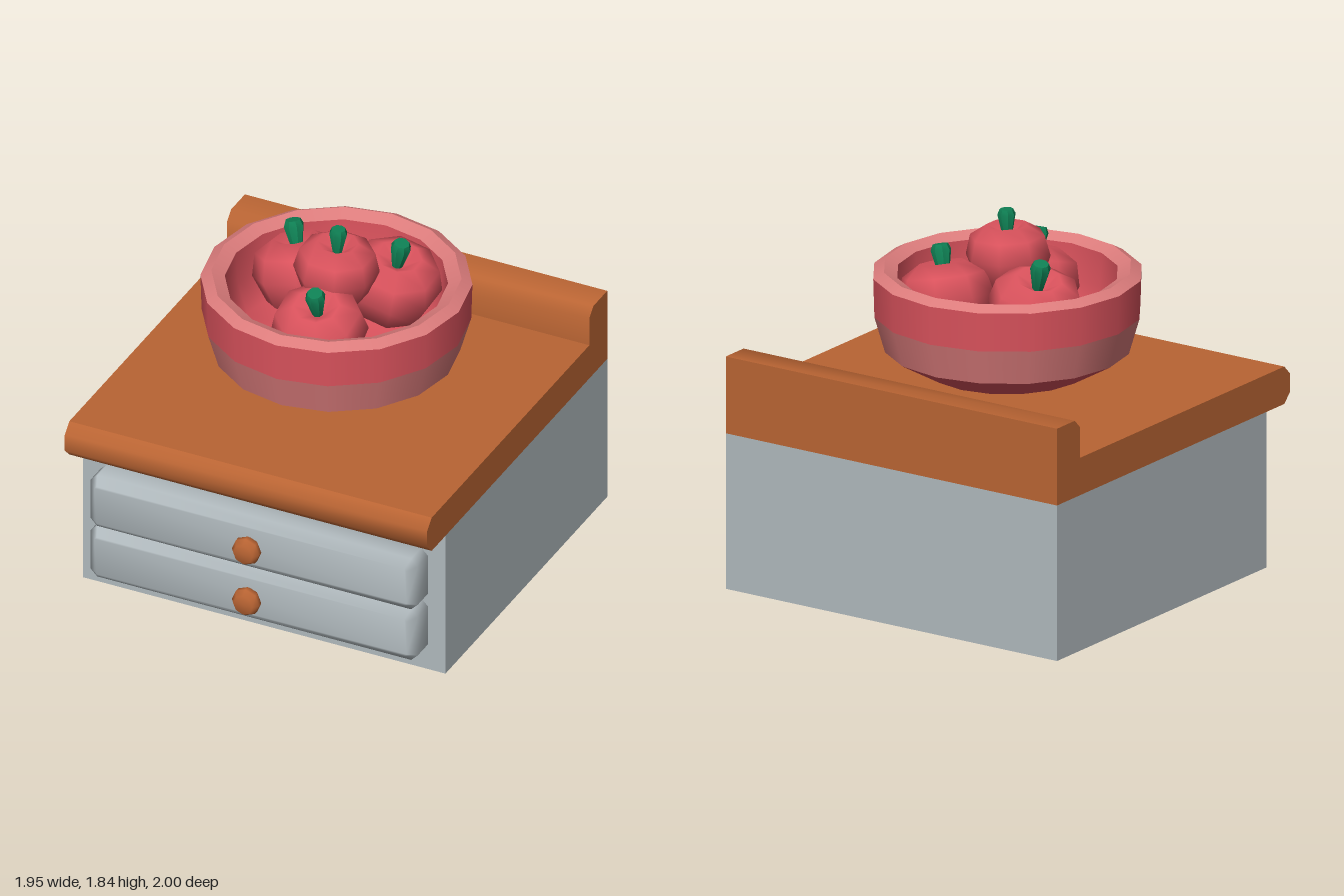
import * as THREE from 'three';
import { mergeVertices, toCreasedNormals } from 'three/addons/utils/BufferGeometryUtils.js';

const mat = (name, color, side = THREE.FrontSide) => {
  const m = new THREE.MeshStandardMaterial({ color, side });
  m.name = name;
  return m;
};

const points = (list) => list.map(([x, y]) => new THREE.Vector2(x, y));

export function createModel() {
  const group = new THREE.Group();
  const wood = mat('orange wood', 0xb96433);
  const paint = mat('grey paint', 0xb0b9bd);
  const red = mat('red', 0xd9525c);
  const pink = mat('pink', 0xdc7c7c);
  const green = mat('green', 0x0f8054);

  const add = (name, geometry, material, parent = group) => {
    const mesh = new THREE.Mesh(geometry, material);
    mesh.name = name;
    parent.add(mesh);
    return mesh;
  };

  // Cabinet body
  add('cabinet', new THREE.BoxGeometry(1.95, 0.79, 1.765).translate(0, 0.395, -0.1175), paint);

  // Worktop pieces: side profiles given as [z, y], swept across the width
  const sweep = (profile) => {
    const g = new THREE.ExtrudeGeometry(new THREE.Shape(points(profile)), { depth: 1.95, bevelEnabled: false });
    g.rotateY(-Math.PI / 2).translate(0.975, 0, 0);
    return toCreasedNormals(g, 0.9);
  };
  add('worktop', sweep([[-1, 0.79], [0.915, 0.79], [0.915, 0.98], [-1, 0.98]]), wood);
  add('worktopNose', sweep([[0.915, 0.79], [0.965, 0.84], [0.965, 0.93], [0.915, 0.98]]), wood);
  add('backsplash', sweep([[-1, 0.98], [-0.805, 0.98], [-0.805, 1.135], [-0.85, 1.18], [-1, 1.18]]), wood);

  // Drawer fronts with cut corners and a softly shaded bevel, each with a knob
  const w = 0.84, h = 0.105, c = 0.012, bevel = 0.04;
  const outline = new THREE.Shape(points([
    [-w + c, -h], [w - c, -h], [w, -h + c], [w, h - c],
    [w - c, h], [-w + c, h], [-w, h - c], [-w, -h + c],
  ]));
  let drawerGeo = new THREE.ExtrudeGeometry(outline, {
    depth: 0.13, bevelThickness: bevel, bevelSize: bevel, bevelSegments: 1,
  });
  drawerGeo.deleteAttribute('uv');
  drawerGeo.deleteAttribute('normal');
  drawerGeo = mergeVertices(drawerGeo, 1e-4);
  drawerGeo.computeVertexNormals();
  const knobGeo = new THREE.LatheGeometry(points([
    [0.05, 0], [0.073, 0.03], [0.073, 0.055], [0.052, 0.085], [0, 0.085],
  ]), 8).rotateX(Math.PI / 2);
  for (const y of [0.25, 0.54]) {
    add('drawerFront', drawerGeo, paint).position.set(0, y, 0.745);
    add('drawerKnob', knobGeo, wood).position.set(0, y, 0.915);
  }

  // Bowl: stacked bands sharing one axis
  const bowl = new THREE.Group();
  bowl.name = 'bowl';
  bowl.position.z = -0.022;
  group.add(bowl);
  const band = (name, profile, material) =>
    add(name, new THREE.LatheGeometry(points(profile), 16), material, bowl);
  band('bowlFoot', [[0, 1.035], [0.39, 1.035]], red);
  band('bowlBase', [[0.39, 1.035], [0.6, 1.155]], red);
  band('bowlStripe', [[0.6, 1.155], [0.652, 1.335]], pink);
  band('bowlWall', [[0.652, 1.335], [0.658, 1.53]], red);
  band('bowlRimOuter', [[0.658, 1.53], [0.605, 1.56]], pink);
  band('bowlRimInner', [[0.605, 1.56], [0.54, 1.53]], pink);
  band('bowlInside', [[0.54, 1.53], [0.53, 1.36], [0.48, 1.2], [0.32, 1.1], [0, 1.1]], red);

  // Apples: eight-sided bodies with a dimple and a flared stem
  const appleGeo = new THREE.LatheGeometry(points([
    [0, -0.13], [0.08, -0.165], [0.165, -0.1], [0.21, 0.02],
    [0.185, 0.12], [0.1, 0.172], [0.035, 0.125], [0, 0.11],
  ]), 8);
  const stemGeo = toCreasedNormals(new THREE.LatheGeometry(points([
    [0.022, 0.11], [0.045, 0.225], [0.034, 0.25], [0, 0.25],
  ]), 8), 0.6);
  const apples = [
    { at: [0.01, 1.59, 0], lean: [0.05, 1, 0], size: 1 },
    { at: [-0.255, 1.41, -0.155], lean: [-0.25, 1, -0.17], size: 1.13 },
    { at: [0.185, 1.41, -0.265], lean: [0.22, 1, 0.1], size: 1.13 },
    { at: [0.04, 1.39, 0.235], lean: [0.04, 1, 0.3], size: 1.13 },
  ];
  for (const { at, lean, size } of apples) {
    const apple = new THREE.Group();
    apple.name = 'apple';
    apple.position.set(...at);
    apple.quaternion.setFromUnitVectors(new THREE.Vector3(0, 1, 0), new THREE.Vector3(...lean).normalize());
    apple.scale.setScalar(size);
    add('appleBody', appleGeo, red, apple).rotation.y = Math.PI / 8;
    add('appleStem', stemGeo, green, apple);
    group.add(apple);
  }

  return group;
}
